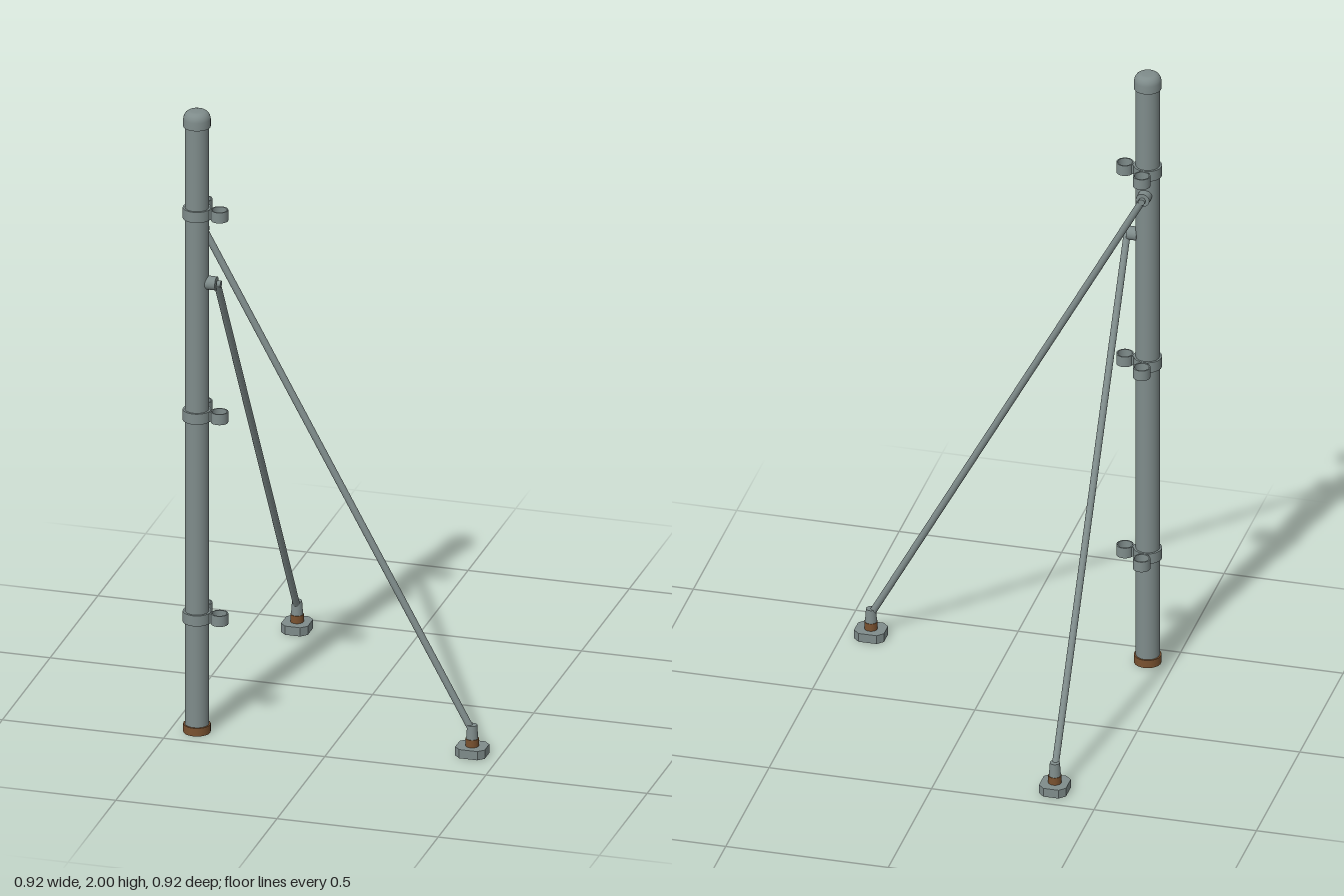
import * as THREE from 'three';

const steel = new THREE.MeshStandardMaterial({ color: 0x7f8c8b });
const rust = new THREE.MeshStandardMaterial({ color: 0x7a5230 });
const POST = -0.42; // post stands at x = POST, z = -POST
const up = new THREE.Vector3(0, 1, 0);

function add(parent, name, geometry, material = steel, x = 0, y = 0, z = 0) {
  const mesh = new THREE.Mesh(geometry, material);
  mesh.name = name;
  mesh.position.set(x, y, z);
  parent.add(mesh);
  return mesh;
}

// Cylinder running between two points
function rod(parent, name, a, b, radius, material = steel) {
  const dir = b.clone().sub(a);
  const mesh = add(parent, name, new THREE.CylinderGeometry(radius, radius, dir.length(), 20), material);
  mesh.position.copy(a).add(b).multiplyScalar(0.5);
  mesh.quaternion.setFromUnitVectors(up, dir.normalize());
  return mesh;
}

// Upright hollow ring with a rectangular section; repeated points keep its edges sharp
function ringGeometry(inner, outer, height) {
  const h = height / 2;
  const c = [[inner, -h], [outer, -h], [outer, h], [inner, h]];
  const points = [];
  c.forEach((p, i) => {
    points.push(new THREE.Vector2(...p), new THREE.Vector2(...p));
    if (i === 3) points.push(new THREE.Vector2(...c[0]));
  });
  return new THREE.LatheGeometry(points, 36);
}

// Ground plate with cut corners
function plateGeometry(w, d, height, cut) {
  const x = w / 2, z = d / 2;
  const shape = new THREE.Shape([
    [-x + cut, -z], [x - cut, -z], [x, -z + cut], [x, z - cut],
    [x - cut, z], [-x + cut, z], [-x, z - cut], [-x, -z + cut],
  ].map(p => new THREE.Vector2(...p)));
  return new THREE.ExtrudeGeometry(shape, { depth: height, bevelEnabled: false }).rotateX(-Math.PI / 2);
}

// Brace leaning out along local +x, starting beside the post at local (0, top, -0.063)
function makeBrace(name, top) {
  const g = new THREE.Group();
  g.name = name;
  const off = -0.063, reach = 0.835;
  const v = (x, y, z) => new THREE.Vector3(x, y, z);
  rod(g, 'braceTube', v(0, top, off), v(reach, 0.075, off), 0.0105);
  rod(g, 'bracePivot', v(0, top, -0.03), v(0, top, off + 0.002), 0.021);
  rod(g, 'pivotBolt', v(0, top, off), v(0, top, off - 0.012), 0.01);
  add(g, 'footPlate', plateGeometry(0.092, 0.083, 0.028, 0.018), steel, reach, 0, off);
  add(g, 'footNeck', new THREE.CylinderGeometry(0.02, 0.02, 0.024, 24), rust, reach, 0.04, off);
  add(g, 'footSocket', new THREE.CylinderGeometry(0.015, 0.018, 0.043, 24), steel, reach, 0.0735, off);
  return g;
}

export function createModel() {
  const model = new THREE.Group();
  model.name = 'bracedPost';
  const post = new THREE.Group();
  post.name = 'post';
  post.position.set(POST, 0, -POST);
  model.add(post);

  // Post, base collar and domed cap
  add(post, 'postTube', new THREE.CylinderGeometry(0.036, 0.036, 1.95, 40), steel, 0, 0.985, 0);
  add(post, 'baseCollar', new THREE.CylinderGeometry(0.041, 0.041, 0.026, 40), rust, 0, 0.013, 0);
  const cap = [[0.034, 1.95], [0.041, 1.95], [0.041, 1.95], [0.041, 1.975], [0.039, 1.985],
    [0.034, 1.993], [0.027, 1.998], [0.018, 2], [0, 2]].map(p => new THREE.Vector2(...p));
  add(post, 'postCap', new THREE.LatheGeometry(cap, 40));

  // Three clamps, each with two hollow eyes at right angles
  for (const y of [0.372, 1.022, 1.672]) {
    const clamp = new THREE.Group();
    clamp.name = 'clamp';
    clamp.position.y = y;
    post.add(clamp);
    add(clamp, 'clampBand', ringGeometry(0.034, 0.0425, 0.034));
    for (const [x, z] of [[1, 0], [0, -1]]) {
      add(clamp, 'clampEye', ringGeometry(0.022, 0.026, 0.034), steel, 0.07 * x, 0, 0.07 * z);
      add(clamp, 'clampLug', new THREE.BoxGeometry(x ? 0.012 : 0.022, 0.03, x ? 0.022 : 0.012),
        steel, 0.042 * x, 0, 0.042 * z);
    }
  }

  // Two braces: one towards +x, the other towards -z (mirrored about the diagonal)
  post.add(makeBrace('sideBrace', 1.6));
  const back = makeBrace('backBrace', 1.45);
  back.rotation.y = Math.PI / 2;
  for (const part of back.children) part.position.z *= -1;
  for (const part of back.children) part.quaternion.set(-part.quaternion.x, -part.quaternion.y, part.quaternion.z, part.quaternion.w);
  post.add(back);
  return model;
}
